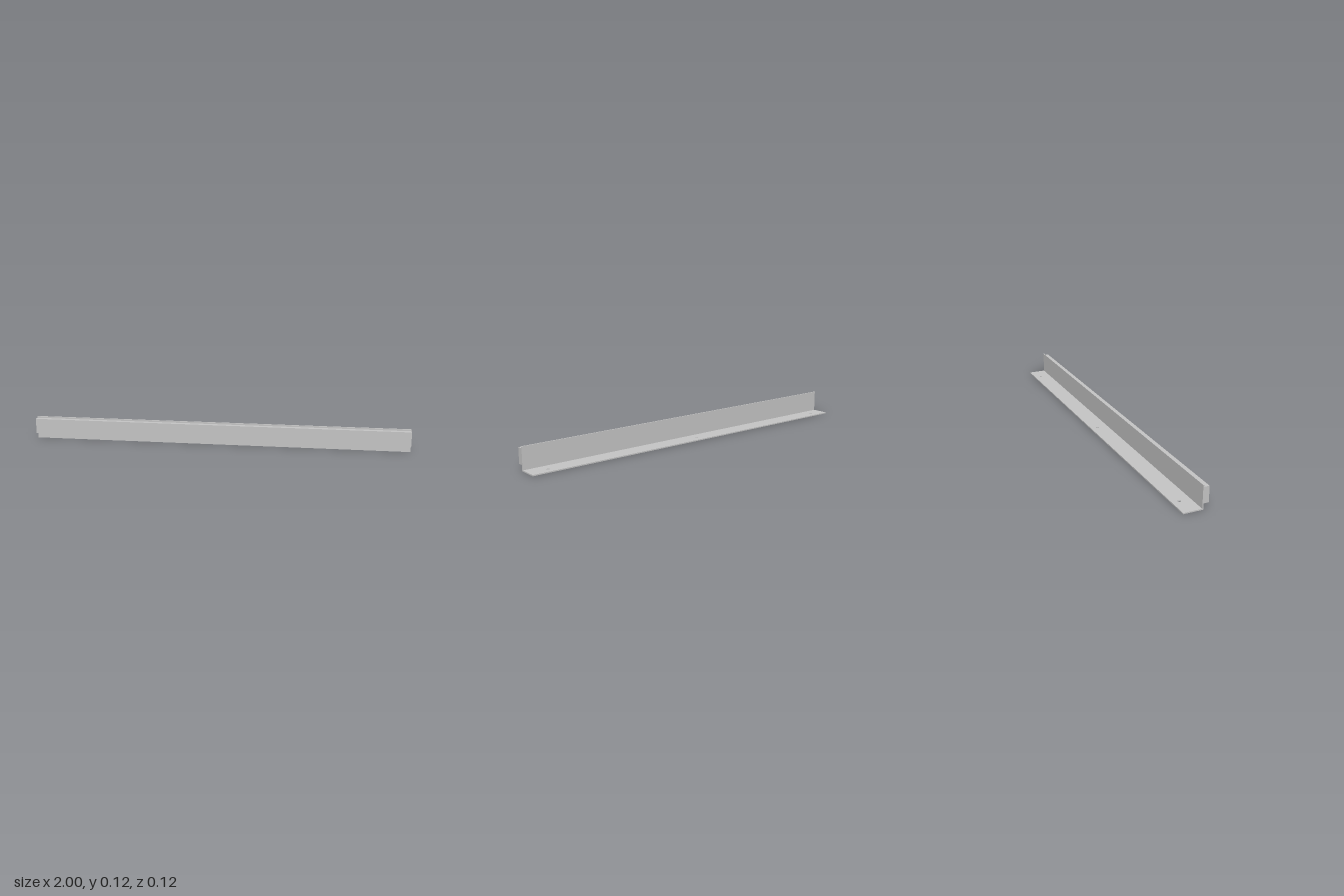
import * as THREE from 'three';

const LENGTH = 2;
const THICK = 0.006;
const BACK = -0.0625; // rear edge of the base flange
const FACE = 0.0375; // front face of the upright flange
const FRONT = 0.0625; // front face of the facing bar

export function createModel() {
  const group = new THREE.Group();
  const grey = new THREE.MeshStandardMaterial({ color: 0xc4c4c4 });
  grey.name = 'light grey';

  const add = (name, geometry) => {
    const mesh = new THREE.Mesh(geometry, grey);
    mesh.name = name;
    group.add(mesh);
  };
  const bar = (y0, y1, z0, z1) =>
    new THREE.BoxGeometry(LENGTH, y1 - y0, z1 - z0).translate(0, (y0 + y1) / 2, (z0 + z1) / 2);

  // Base flange with three screw holes, drawn flat with shape y = -z
  const inner = FACE - THICK;
  const plate = new THREE.Shape([
    new THREE.Vector2(-LENGTH / 2, -inner),
    new THREE.Vector2(LENGTH / 2, -inner),
    new THREE.Vector2(LENGTH / 2, -BACK),
    new THREE.Vector2(-LENGTH / 2, -BACK),
  ]);
  for (const x of [-0.9, 0, 0.9]) {
    plate.holes.push(new THREE.Path().absarc(x, 0.025, 0.008, 0, Math.PI * 2, true));
  }
  const base = new THREE.ExtrudeGeometry(plate, { depth: THICK, bevelEnabled: false, curveSegments: 24 });
  add('baseFlange', base.rotateX(-Math.PI / 2));

  // Upright flange of the angle
  add('uprightFlange', bar(0, 0.12, inner, FACE));

  // Solid bar fixed to the front of the upright
  add('facingBar', bar(0.031, 0.111, FACE, FRONT));

  return group;
}
